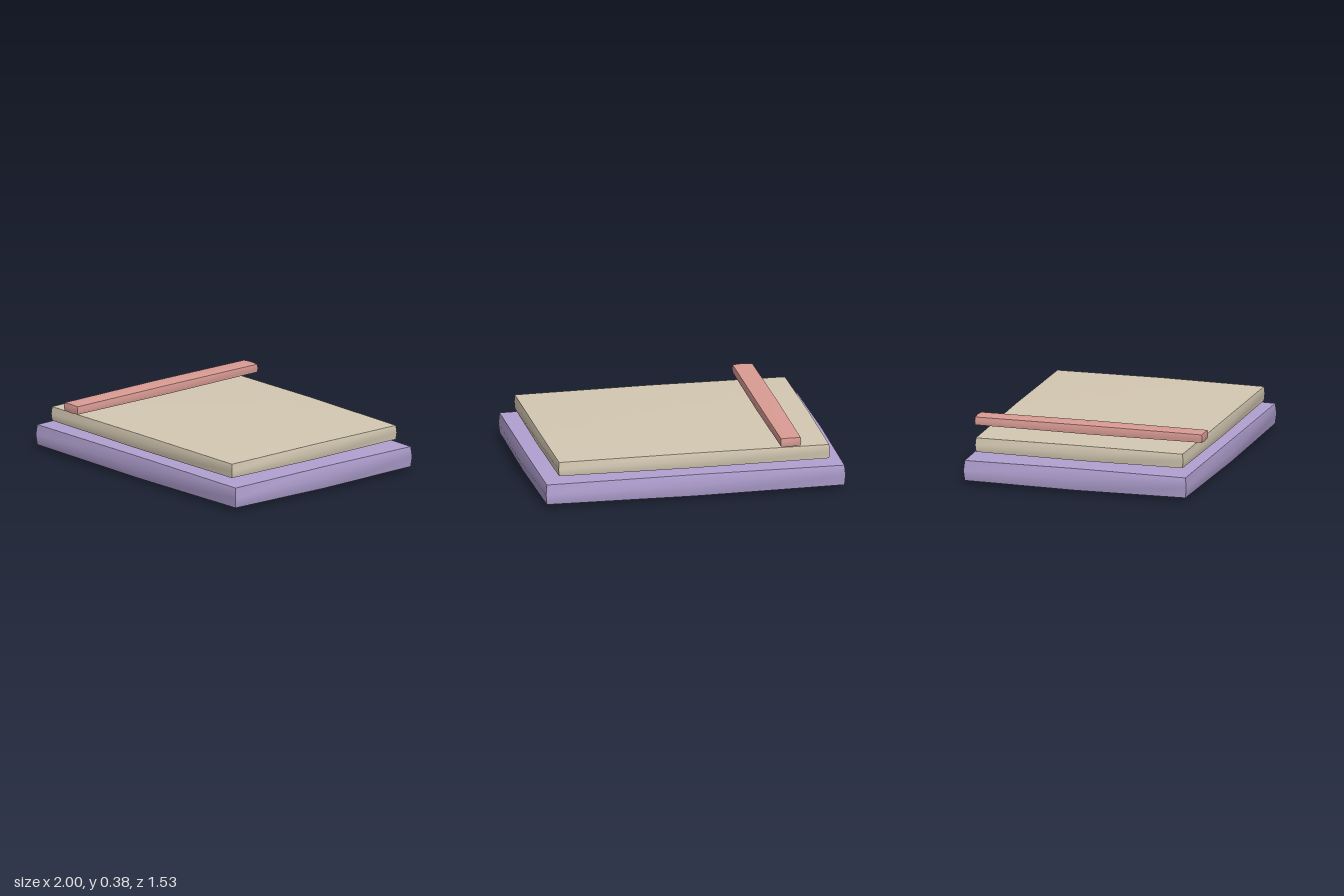
import * as THREE from 'three';

const lavender = new THREE.MeshStandardMaterial({ name: 'lavender', color: 0xb0a0d0 });
const cream = new THREE.MeshStandardMaterial({ name: 'cream', color: 0xd4c8b2 });
const coral = new THREE.MeshStandardMaterial({ name: 'coral', color: 0xda9c94 });

// Box of 2 x 2 x 2 cells whose edge midpoints and face centres swell outwards.
// corner, edge and face are the half sizes [x, y, z] at each kind of vertex.
function puffedBox(name, material, center, corner, edge, face) {
  const geometry = new THREE.BoxGeometry(2, 2, 2, 2, 2, 2);
  const p = geometry.attributes.position;
  for (let i = 0; i < p.count; i++) {
    const s = [p.getX(i), p.getY(i), p.getZ(i)].map(Math.round);
    const half = [corner, edge, face][s.filter((v) => v === 0).length];
    p.setXYZ(i, s[0] * half[0], s[1] * half[1], s[2] * half[2]);
  }
  geometry.computeVertexNormals(); // smooth on each side, sharp between sides
  const mesh = new THREE.Mesh(geometry, material);
  mesh.name = name;
  mesh.position.set(...center);
  return mesh;
}

export function createModel() {
  const model = new THREE.Group();
  model.name = 'paddedSlabs';
  model.add(
    // Wide bottom slab
    puffedBox('baseSlab', lavender, [0, 0.097, 0],
      [0.97, 0.066, 0.737], [0.976, 0.072, 0.744], [1, 0.096, 0.766]),
    // Thinner slab on top of it
    puffedBox('topSlab', cream, [0, 0.247, 0],
      [0.88, 0.046, 0.69], [0.884, 0.05, 0.694], [0.9, 0.065, 0.709]),
    // Narrow strap running front to back
    puffedBox('strap', coral, [-0.617, 0.349, 0],
      [0.064, 0.026, 0.756], [0.067, 0.029, 0.759], [0.073, 0.036, 0.766]),
  );
  return model;
}
